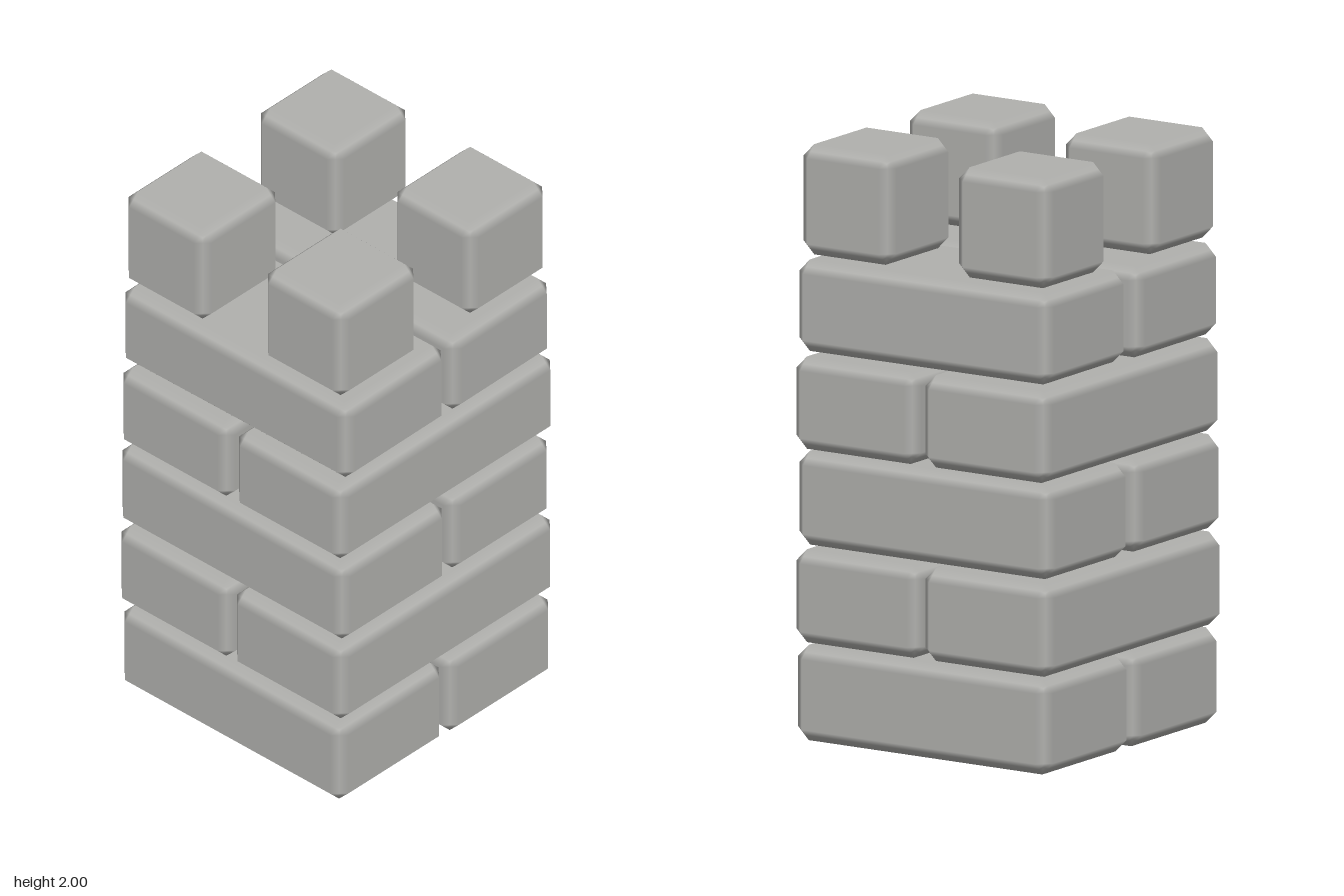
import * as THREE from 'three';

const CHAMFER = 0.042;

// Box with flat chamfered edges and normals blended across the chamfers
function chamferedBox(w, h, d, c = CHAMFER) {
  const geo = new THREE.BoxGeometry(1, 1, 1, 3, 3, 3);
  const pos = geo.attributes.position;
  const nor = geo.attributes.normal;
  const half = [w / 2 - c, h / 2 - c, d / 2 - c];
  for (let i = 0; i < pos.count; i++) {
    const p = [pos.getX(i), pos.getY(i), pos.getZ(i)];
    const dir = p.map(v => (Math.abs(v) > 0.4 ? Math.sign(v) : 0));
    const n = dir.filter(v => v !== 0).length; // 1 face, 2 edge, 3 corner
    const q = p.map((v, k) => Math.sign(v) * half[k] + (dir[k] * c) / n);
    pos.setXYZ(i, ...q);
    const len = Math.sqrt(n);
    nor.setXYZ(i, dir[0] / len, dir[1] / len, dir[2] / len);
  }
  return geo;
}

export function createModel() {
  const model = new THREE.Group();
  model.name = 'brickTower';
  const stone = new THREE.MeshStandardMaterial({ color: 0xb0b0ad });
  stone.name = 'grey stone';

  // A brick given by its extents, with an optional slight turn
  function brick(name, [x0, x1], [y0, y1], [z0, z1], yaw = 0) {
    const mesh = new THREE.Mesh(chamferedBox(x1 - x0, y1 - y0, z1 - z0), stone);
    mesh.position.set((x0 + x1) / 2, (y0 + y1) / 2, (z0 + z1) / 2);
    mesh.rotation.y = yaw;
    mesh.name = name;
    model.add(mesh);
  }

  // Courses of two bricks, running alternately across and along
  const courses = [
    { y: [0, 0.32], bricks: [[[-0.505, 0.5], [0.003, 0.522]], [[-0.505, 0.505], [-0.515, -0.003]]] },
    { y: [0.33, 0.642], bricks: [[[-0.515, -0.003], [-0.52, 0.525]], [[0, 0.507], [-0.522, 0.522]]] },
    { y: [0.655, 0.97], bricks: [[[-0.515, 0.51], [0, 0.52]], [[-0.51, 0.505], [-0.507, -0.015]]] },
    { y: [0.98, 1.29], bricks: [[[-0.507, -0.004], [-0.522, 0.525]], [[0.01, 0.505], [-0.525, 0.522]]] },
    { y: [1.305, 1.612], yaw: 0.01, bricks: [[[-0.51, 0.51], [0.006, 0.51]], [[-0.495, 0.508], [-0.502, -0.006]]] },
  ];
  courses.forEach(({ y, yaw, bricks }, i) => {
    bricks.forEach(([x, z], j) => brick(`course${i + 1}Brick${j + 1}`, x, y, z, yaw));
  });

  // Four corner battlements
  const top = [1.63, 2];
  brick('battlementBackRight', [-0.5, -0.126], top, [-0.504, -0.128]);
  brick('battlementBackLeft', [0.125, 0.492], top, [-0.502, -0.114]);
  brick('battlementFrontRight', [-0.5, -0.126], top, [0.119, 0.508]);
  brick('battlementFrontLeft', [0.125, 0.494], top, [0.119, 0.508]);

  return model;
}
